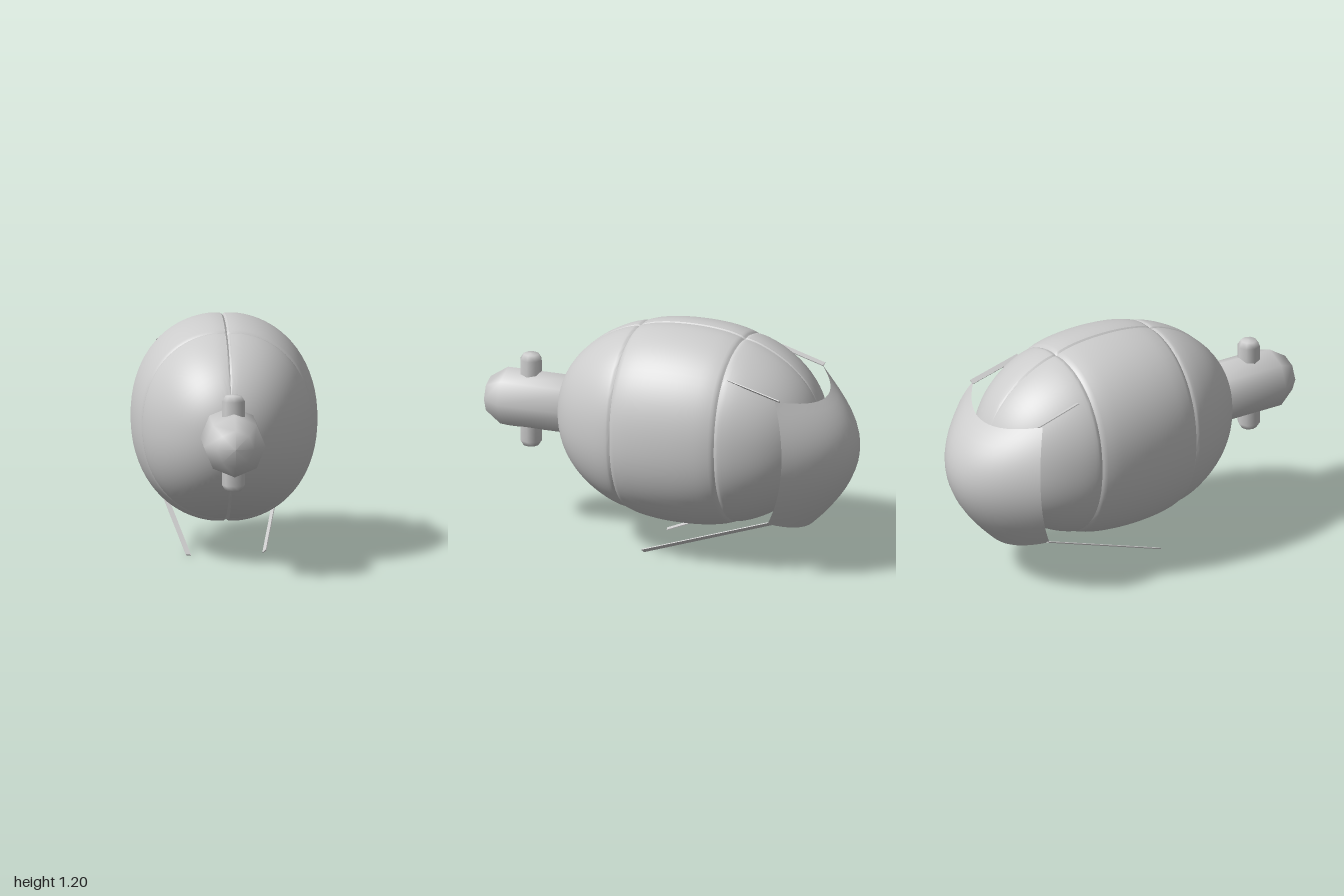
import * as THREE from 'three';
import { toCreasedNormals } from 'three/addons/utils/BufferGeometryUtils.js';

const grey = new THREE.MeshStandardMaterial({ color: 0xcccccc, side: THREE.DoubleSide });
const V = (x, y, z) => new THREE.Vector3(x, y, z);
const CY = 0.685; // height of the long axis

function add(group, name, geometry) {
  const mesh = new THREE.Mesh(geometry, grey);
  mesh.name = name;
  group.add(mesh);
  return mesh;
}

// Samples crowd towards both ends, where the grooves are
const ease = u => (1 - Math.cos(Math.PI * u)) / 2;
// Point on a slightly squared unit circle
const squarish = (t, n) => (Math.abs(Math.sin(t)) ** n + Math.abs(Math.cos(t)) ** n) ** (-1 / n);
// Depth of a groove at distance d: a soft roll plus a sharp V of width w
const groove = (d, w) => 0.012 * Math.max(0, 1 - d / (w * 8)) ** 2 + 0.014 * Math.max(0, 1 - d / w);

// Egg-shaped shell of three puffed rings, split into two halves by a seam
function bodyGeometry() {
  const limits = [-0.71, -0.28, 0.29, 0.71];
  const profile = [];
  for (let p = 0; p < 3; p++) {
    const from = Math.acos(limits[p] / 0.71), to = Math.acos(limits[p + 1] / 0.71);
    for (let i = p ? 1 : 0; i <= 28; i++) {
      const t = THREE.MathUtils.lerp(from, to, ease(i / 28));
      const z = 0.71 * Math.cos(t);
      const r = Math.max(0, 1 - Math.abs(z / 0.71) ** 2.15) ** (1 / 2.15);
      const d = Math.min(Math.abs(z - limits[1]), Math.abs(z - limits[2]));
      profile.push(new THREE.Vector2(r * (1 - groove(d, 0.012)), z));
    }
  }
  const geo = new THREE.LatheGeometry(profile, 112);
  const pos = geo.attributes.position;
  for (let i = 0; i < pos.count; i++) {
    const x = pos.getX(i), z = pos.getZ(i);
    const angle = Math.PI * ease(Math.abs(Math.atan2(x, z)) / Math.PI);
    const fromSeam = Math.min(angle, Math.PI - angle);
    const r = Math.hypot(x, z) * squarish(angle, 2.15) * (1 - groove(fromSeam, 0.022));
    pos.setXYZ(i, Math.sign(x) * 0.472 * r * Math.sin(angle), pos.getY(i), 0.522 * r * Math.cos(angle));
  }
  geo.rotateX(Math.PI / 2);
  return toCreasedNormals(geo, 0.5);
}

// Bulging four-cornered plate: a quadratic patch through a 3 x 3 net
function maskGeometry() {
  const net = [
    [V(-0.32, 0.96, -0.69), V(0, 0.9, -0.84), V(0.32, 0.96, -0.69)],
    [V(-0.41, 0.63, -0.76), V(0, 0.585, -1), V(0.41, 0.63, -0.76)],
    [V(-0.32, 0.3, -0.65), V(0, 0.22, -0.77), V(0.32, 0.3, -0.65)],
  ];
  const weights = t => [(1 - t) * (1 - 2 * t), 4 * t * (1 - t), t * (2 * t - 1)];
  const geo = new THREE.PlaneGeometry(1, 1, 16, 16);
  const { position: pos, uv } = geo.attributes;
  for (let i = 0; i < pos.count; i++) {
    const a = weights(1 - uv.getX(i)), b = weights(1 - uv.getY(i));
    const p = V(0, 0, 0);
    net.forEach((row, j) => row.forEach((q, k) => p.addScaledVector(q, b[j] * a[k])));
    pos.setXYZ(i, p.x, p.y, p.z);
  }
  geo.computeVertexNormals();
  return geo;
}

// Thin flat band from a to b, its width lying roughly along side
function bandGeometry(a, b, side) {
  const along = b.clone().sub(a);
  const length = along.length();
  along.normalize();
  const normal = side.clone().cross(along).normalize();
  const across = along.clone().cross(normal);
  const geo = new THREE.BoxGeometry(0.026, length, 0.005);
  geo.applyMatrix4(new THREE.Matrix4().makeBasis(across, along, normal));
  const mid = a.clone().add(b).multiplyScalar(0.5);
  return geo.translate(mid.x, mid.y, mid.z);
}

// Eight-sided turned part
const turned = pts => new THREE.LatheGeometry(pts.map(p => new THREE.Vector2(...p)), 8);

export function createModel() {
  const model = new THREE.Group();
  model.name = 'model';

  add(model, 'body', bodyGeometry()).position.set(0, CY, -0.12);

  // Snout with a bevelled end
  const snout = turned([[0, 0.45], [0.157, 0.45], [0.157, 0.89], [0.095, 0.985], [0, 1]]);
  snout.rotateX(Math.PI / 2);
  add(model, 'snout', snout).position.y = CY;

  // Knobs above and below the snout
  for (const s of [1, -1]) {
    const knob = turned([[0.058, 0], [0.058, 0.215], [0.04, 0.243], [0, 0.247]]);
    if (s < 0) knob.rotateX(Math.PI);
    add(model, s > 0 ? 'upperKnob' : 'lowerKnob', knob).position.set(0, CY, 0.765);
  }

  add(model, 'rearMask', maskGeometry());

  // Loose straps from the four corners of the mask
  add(model, 'upperStrapLeft', bandGeometry(V(0.31, 0.96, -0.71), V(0.305, 1.035, -0.43), V(0.7, 0.6, 0.2)));
  add(model, 'upperStrapRight', bandGeometry(V(-0.31, 0.96, -0.71), V(-0.31, 1.03, -0.47), V(-0.9, 0.4, 0.2)));
  add(model, 'lowerStrapLeft', bandGeometry(V(0.31, 0.3, -0.66), V(0.194, 0.022, 0.08), V(0.64, 0.61, 0.33)));
  add(model, 'lowerStrapRight', bandGeometry(V(-0.31, 0.3, -0.66), V(-0.192, 0.01, 0.1), V(-0.9, 0.1, 0.3)));

  return model;
}
